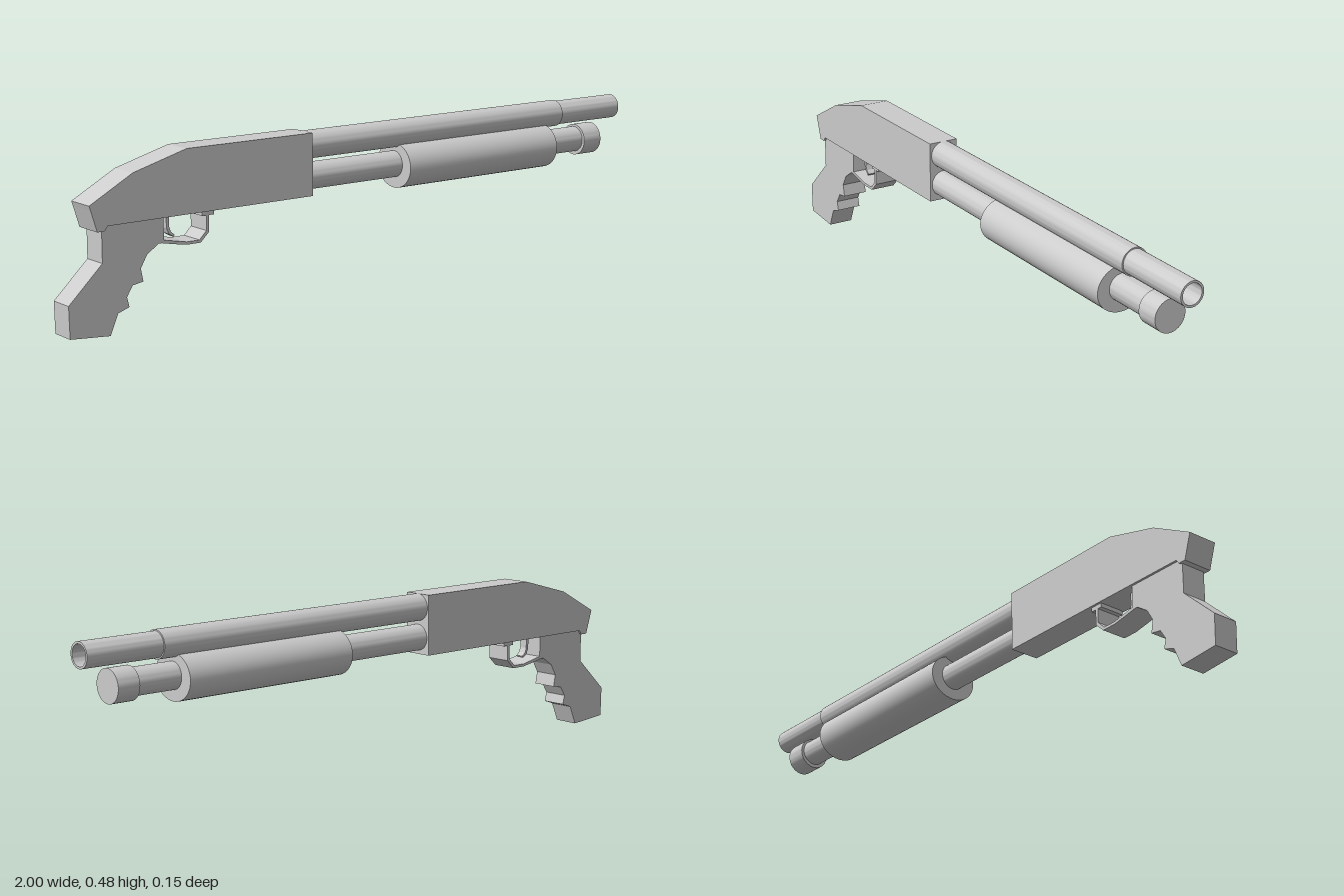
import * as THREE from 'three';
import { toCreasedNormals } from 'three/addons/utils/BufferGeometryUtils.js';

const material = new THREE.MeshStandardMaterial({ color: 0xcccccc, side: THREE.DoubleSide });

export function createModel() {
  const model = new THREE.Group();

  const add = (name, geometry) => {
    const mesh = new THREE.Mesh(geometry, material);
    mesh.name = name;
    model.add(mesh);
    return mesh;
  };

  // Side outline in x, y given thickness, centred on z = 0
  const plate = (name, outline, width) => {
    const shape = new THREE.Shape(outline.map(([x, y]) => new THREE.Vector2(x, y)));
    const geometry = new THREE.ExtrudeGeometry(shape, { depth: width, bevelEnabled: false });
    return add(name, geometry.translate(0, 0, -width / 2));
  };

  // Turned part along x: profile of [x, radius], with optional vertical squash
  const turned = (name, profile, y, squash = 1) => {
    const points = profile.map(([x, r]) => new THREE.Vector2(r, x));
    const geometry = new THREE.LatheGeometry(points, 40).rotateZ(-Math.PI / 2);
    geometry.scale(1, squash, 1).translate(0, y, 0);
    return add(name, toCreasedNormals(geometry, 0.6));
  };

  plate('receiver', [
    [-0.21, 0.30], [-0.21, 0.48], [-0.63, 0.48], [-0.80, 0.433],
    [-0.935, 0.36], [-0.93, 0.345], [-0.912, 0.287], [-0.89, 0.287], [-0.88, 0.30],
  ], 0.091);

  // Grip with finger grooves on its front edge
  plate('grip', [
    [-0.895, 0.31], [-0.895, 0.20], [-1, 0.10], [-0.998, 0.01], [-0.875, 0],
    [-0.85, 0.058], [-0.815, 0.07], [-0.822, 0.098], [-0.803, 0.128],
    [-0.77, 0.133], [-0.777, 0.17], [-0.757, 0.205], [-0.72, 0.23],
    [-0.703, 0.23], [-0.703, 0.31],
  ], 0.077);

  // Barrel with a step near the muzzle and an open bore
  turned('barrel', [
    [-0.215, 0], [-0.215, 0.0405], [0.755, 0.0405], [0.755, 0.0365],
    [1, 0.0365], [1, 0.03], [-0.2, 0.03], [-0.2, 0],
  ], 0.44);

  turned('magazineTube', [[-0.215, 0], [-0.215, 0.039], [0.86, 0.039], [0.86, 0]], 0.35);
  turned('magazineCap', [[0.843, 0], [0.843, 0.048], [0.913, 0.048], [0.913, 0]], 0.348);
  turned('foreGrip', [[0.12, 0], [0.12, 0.0765], [0.70, 0.0765], [0.70, 0]], 0.346, 0.88);

  // Trigger guard: a thin bent strip, outer edge then inner edge
  plate('triggerGuard', [
    [-0.71, 0.23], [-0.67, 0.222], [-0.63, 0.215], [-0.585, 0.215], [-0.557, 0.242], [-0.557, 0.288],
    [-0.54, 0.288], [-0.54, 0.305], [-0.58, 0.305], [-0.58, 0.288], [-0.566, 0.288],
    [-0.566, 0.246], [-0.589, 0.223], [-0.63, 0.223], [-0.67, 0.231], [-0.71, 0.239],
  ], 0.077);

  // Curved trigger blade
  plate('trigger', [
    [-0.68, 0.305], [-0.677, 0.262], [-0.67, 0.245], [-0.655, 0.236],
    [-0.652, 0.241], [-0.664, 0.251], [-0.669, 0.265], [-0.669, 0.305],
  ], 0.025);

  return model;
}
